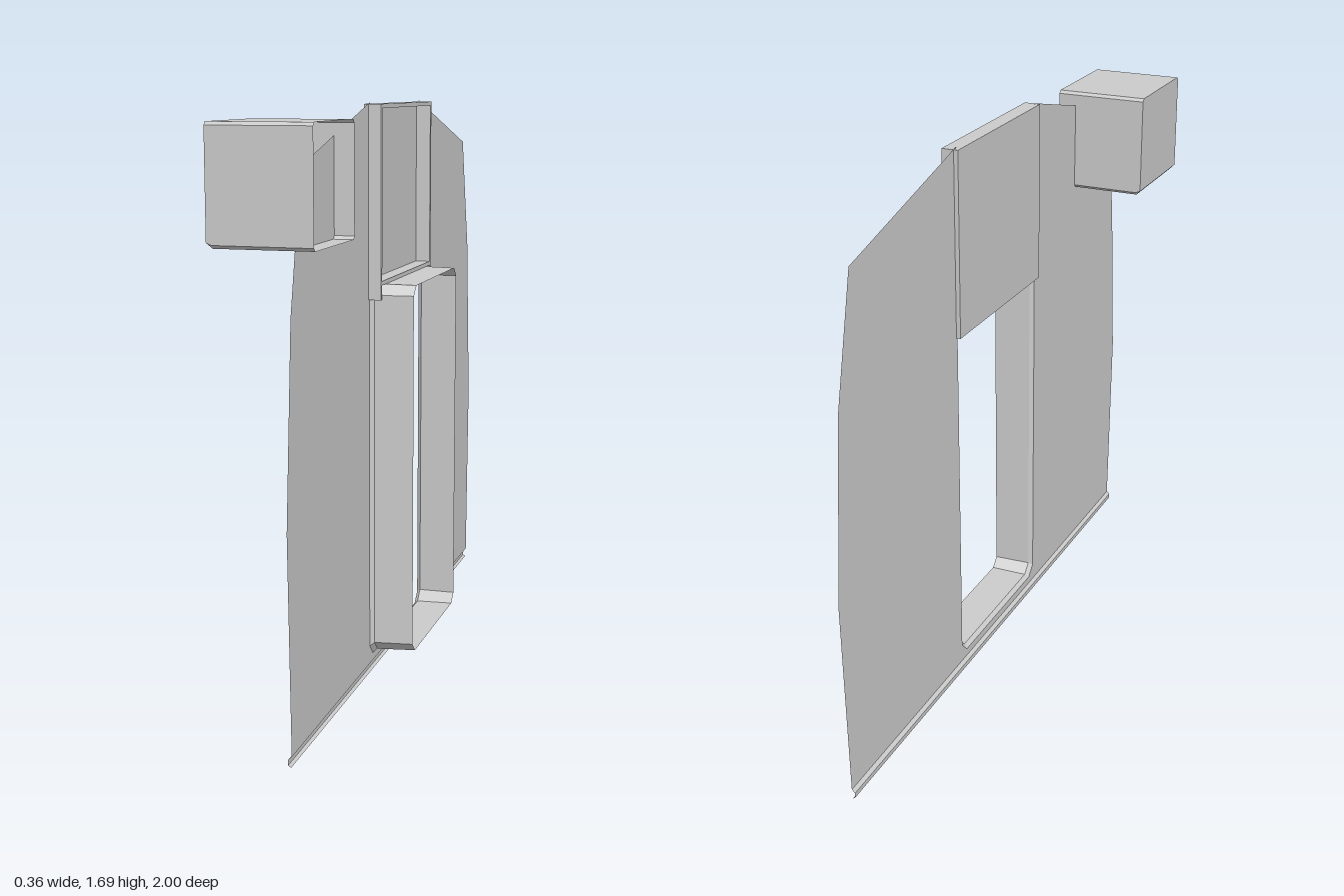
import * as THREE from 'three';

const material = new THREE.MeshStandardMaterial({ color: 0xcccccc, side: THREE.DoubleSide, flatShading: true });

function add(group, name, geometry) {
  const mesh = new THREE.Mesh(geometry, material);
  mesh.name = name;
  group.add(mesh);
}

// Box given by its lower and upper corners
function block(a, b) {
  return new THREE.BoxGeometry(b[0] - a[0], b[1] - a[1], b[2] - a[2])
    .translate((a[0] + b[0]) / 2, (a[1] + b[1]) / 2, (a[2] + b[2]) / 2);
}

// Flat sheet from [z, y] points, standing at depth x
function sheet(points, x) {
  const shape = new THREE.Shape(points.map(([z, y]) => new THREE.Vector2(z, y)));
  return new THREE.ShapeGeometry(shape).rotateY(-Math.PI / 2).translate(x, 0, 0);
}

// Rectangle with cut corners as [z, y] points
function octagon(z0, z1, y0, y1, c) {
  return [[z0 + c, y0], [z1 - c, y0], [z1, y0 + c], [z1, y1 - c],
    [z1 - c, y1], [z0 + c, y1], [z0, y1 - c], [z0, y0 + c]];
}

// Skin joining sections of equal point count; each section is { x, points }
function loft(sections, closed = true) {
  const position = [];
  const index = [];
  const n = sections[0].points.length;
  for (const { x, points } of sections) for (const [z, y] of points) position.push(x, y, z);
  for (let s = 0; s < sections.length - 1; s++) {
    for (let i = 0; i < (closed ? n : n - 1); i++) {
      const a = s * n + i, b = s * n + (i + 1) % n;
      index.push(a, b, b + n, a, b + n, a + n);
    }
  }
  const geometry = new THREE.BufferGeometry();
  geometry.setAttribute('position', new THREE.Float32BufferAttribute(position, 3));
  geometry.setIndex(index);
  const flat = geometry.toNonIndexed();
  flat.computeVertexNormals();
  return flat;
}

export function createModel() {
  const model = new THREE.Group();
  model.name = 'bulkhead';
  const wallX = 0.048;

  // Thin wall with the doorway slot, half outline mirrored in z
  const half = [[0.243, 0.053], [0.275, 0.085], [0.275, 1.68], [0.265, 1.69],
    [0.87, 1.54], [0.955, 1.17], [1, 0.63], [0.98, 0.03]];
  const mirrored = half.map(([z, y]) => [-z, y]).reverse();
  add(model, 'wall', sheet([...half, ...mirrored], wallX));

  // Folded lip along the foot of the wall
  const lip = [[wallX, 0.03], [0.038, 0.021], [0.038, 0.006], [0.046, 0]];
  add(model, 'bottomLip', loft(lip.map(([x, y]) => ({ x, points: [[-0.98, y], [0.98, y]] })), false));

  // Doorway tunnel with a flared edge at the wall
  add(model, 'doorFrame', loft([
    { x: wallX, points: octagon(-0.275, 0.275, 0.053, 1.183, 0.032) },
    { x: 0.06, points: octagon(-0.265, 0.265, 0.064, 1.172, 0.03) },
    { x: 0.175, points: octagon(-0.26, 0.255, 0.068, 1.17, 0.028) },
  ]));

  // Shallow tray above the doorway, open towards +x
  const tray = new THREE.Group();
  tray.name = 'upperTray';
  model.add(tray);
  add(tray, 'trayPanel', block([0.035, 1.13, -0.28], [0.04, 1.685, 0.28]));
  for (const side of [-1, 1]) {
    add(tray, side > 0 ? 'trayLeftSide' : 'trayRightSide',
      block([0.035, 1.13, side * 0.276 - 0.006], [0.085, 1.685, side * 0.276 + 0.006]));
  }
  add(tray, 'trayTop', block([0.035, 1.673, -0.28], [0.085, 1.685, 0.28]));
  add(tray, 'traySill', block([0.035, 1.172, -0.28], [0.085, 1.184, 0.28]));

  // Box through the wall's upper corner, open towards +x
  const rim = octagon(0.6, 0.938, 1.335, 1.65, 0.009);
  const back = rim.map(([z, y]) => [z, Math.max(y, 1.35)]);
  add(model, 'cornerBox', loft([
    { x: 0.105, points: rim }, { x: -0.165, points: rim }, { x: -0.18, points: back },
  ]));
  add(model, 'cornerBoxBack', sheet(back, -0.18));
  return model;
}
